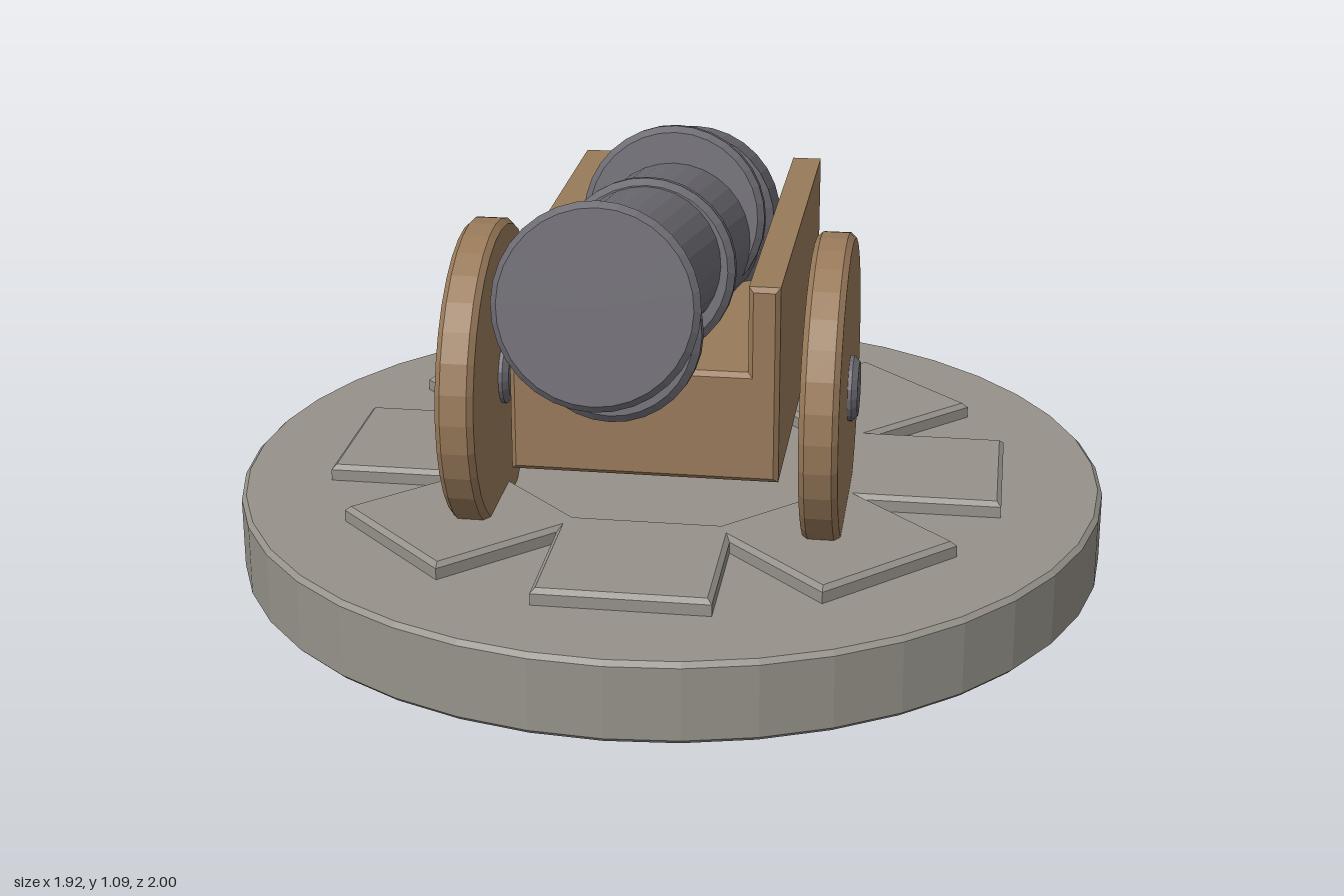
import * as THREE from 'three';

const material = (color) => new THREE.MeshStandardMaterial({ color, flatShading: true });

export function createModel() {
  const stone = material(0x96928a), wood = material(0x997a5a), iron = material(0x6c6a71);
  const model = new THREE.Group();

  const add = (parent, name, geometry, mat, x = 0, y = 0, z = 0) => {
    const mesh = new THREE.Mesh(geometry, mat);
    mesh.name = name;
    mesh.position.set(x, y, z);
    parent.add(mesh);
    return mesh;
  };

  // Solid disc with chamfered rims, from y = 0 to y = h, radius r0 below and r1 above
  const disc = (r0, r1, h, b = 0.01, sides = 32) => new THREE.LatheGeometry([
    [0, 0], [r0 - b, 0], [r0, b], [r1, h - b], [r1 - b, h], [0, h],
  ].map(([x, y]) => new THREE.Vector2(x, y)), sides);

  // Chamfered prism of a flat outline, from z = 0 to z = depth
  const prism = (points, depth, b = 0.01) => {
    const shape = new THREE.Shape(points.map(([x, y]) => new THREE.Vector2(x, y)));
    return new THREE.ExtrudeGeometry(shape, {
      depth: depth - 2 * b, bevelThickness: b, bevelSize: b, bevelOffset: -b, bevelSegments: 1,
    }).translate(0, 0, b);
  };

  // Round stone base with eight radiating slabs
  const baseZ = -0.04;
  add(model, 'base', disc(0.96, 0.96, 0.175, 0.01, 40), stone, 0, 0, baseZ);
  const w = 0.183;
  const slab = prism([[-w, 0.375], [w, 0.375], [w, 0.74], [-w, 0.74]], 0.06)
    .rotateX(-Math.PI / 2);
  for (let i = 0; i < 8; i++) {
    add(model, 'baseSlab', slab, stone, 0, 0.15, baseZ).rotation.y = i * Math.PI / 4;
  }

  // Trough-shaped carriage
  const trough = [
    [-0.28, 0.33], [0.28, 0.33], [0.28, 0.755], [0.215, 0.755],
    [0.215, 0.57], [-0.215, 0.57], [-0.215, 0.755], [-0.28, 0.755],
  ];
  add(model, 'carriage', prism(trough, 0.975), wood, 0, 0, -0.59);

  // Wheels and hubs, mirrored on both sides
  const wheel = disc(0.33, 0.33, 0.08, 0.012).translate(0, -0.04, 0).rotateZ(Math.PI / 2);
  const hub = disc(0.07, 0.07, 0.12, 0.012, 20).translate(0, -0.06, 0).rotateZ(Math.PI / 2);
  for (const side of [-1, 1]) {
    add(model, 'wheel', wheel, wood, side * 0.371, 0.475, 0.19);
    add(model, 'wheelHub', hub, iron, side * 0.371, 0.475, 0.19);
  }

  // Barrel group: local +y points to the muzzle, local -z points up
  const barrel = new THREE.Group();
  barrel.name = 'barrel';
  barrel.position.set(0, 0.887, 0.844);
  barrel.rotation.x = THREE.MathUtils.degToRad(90 - 11.4);
  model.add(barrel);

  add(barrel, 'barrelTube', disc(0.181, 0.139, 1.23), iron, 0, -1.2, 0);
  add(barrel, 'muzzle', disc(0.172, 0.192, 0.115, 0.012), iron, 0, 0.006, 0.008);
  add(barrel, 'breech', disc(0.205, 0.205, 0.188, 0.018), iron, 0, -1.264, -0.026);
  add(barrel, 'breechKnob', new THREE.SphereGeometry(0.115, 24, 16), iron, 0, -1.301, -0.043);

  // Bands: radius, position along the barrel, downward offset
  for (const [r, s, down] of [[0.17, -0.106, 0.084], [0.185, -0.514, 0.012], [0.2, -0.935, -0.052]]) {
    add(barrel, 'barrelBand', disc(r, r, 0.056, 0.014), iron, 0, s - 0.028, down);
  }
  return model;
}
